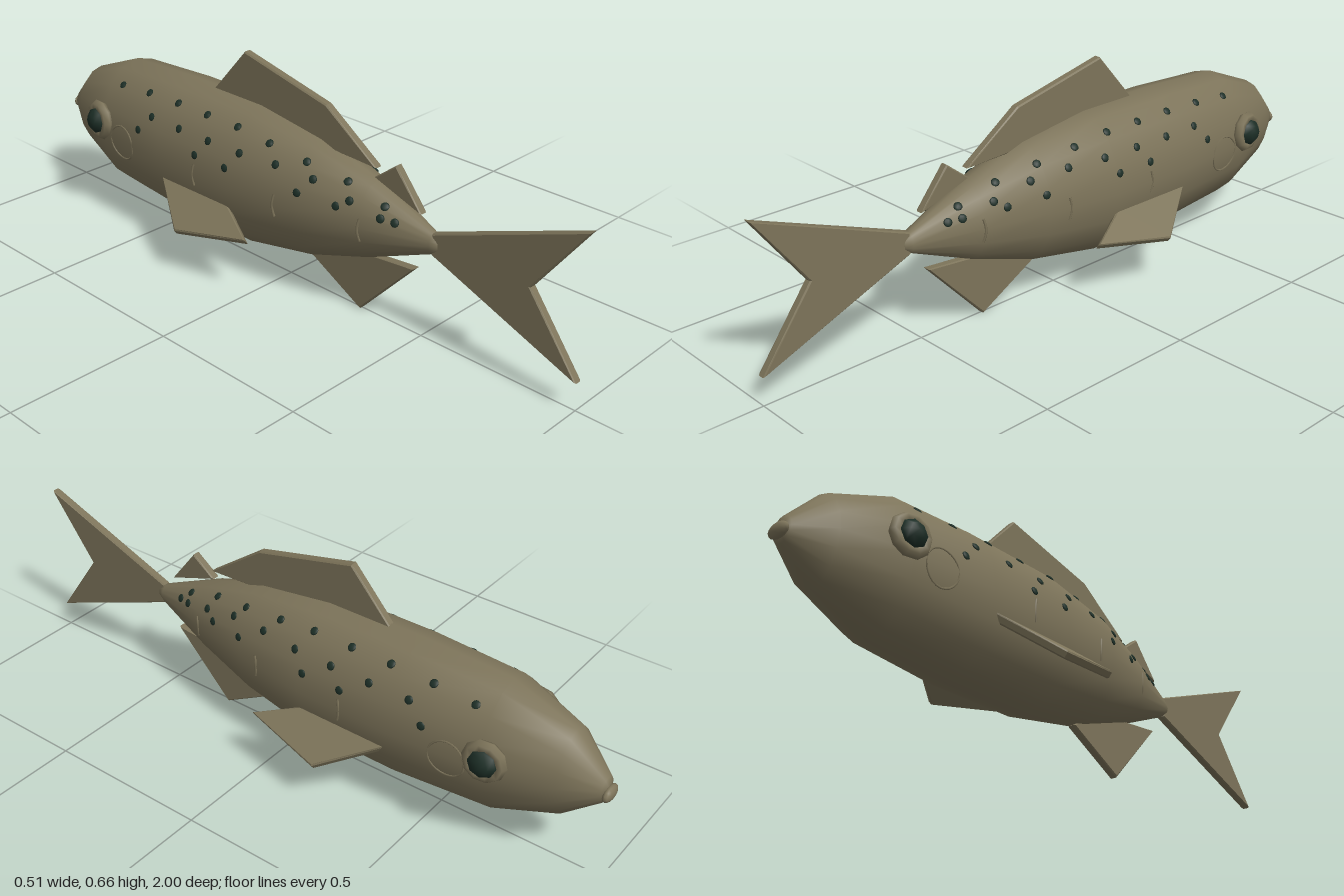
import * as THREE from 'three';

const olive = new THREE.MeshStandardMaterial({ name: 'olive skin', color: 0x7d745a });
const dark = new THREE.MeshStandardMaterial({ name: 'dark green', color: 0x1c2e26 });

// Body stations from snout to tail root: z, half width, bottom y, top y
const stations = [
  [-0.975, 0.035, 0.25, 0.325],
  [-0.875, 0.095, 0.168, 0.43],
  [-0.685, 0.15, 0.097, 0.505],
  [-0.41, 0.164, 0.076, 0.518],
  [-0.107, 0.162, 0.077, 0.518],
  [0.13, 0.13, 0.12, 0.485],
  [0.33, 0.084, 0.186, 0.42],
  [0.53, 0.025, 0.27, 0.333],
  [0.55, 0.016, 0.282, 0.32],
];

function sectionAt(z) {
  let i = 0;
  while (i < stations.length - 2 && stations[i + 1][0] < z) i++;
  const a = stations[i], b = stations[i + 1];
  const t = (z - a[0]) / (b[0] - a[0]);
  const [w, lo, hi] = [1, 2, 3].map((k) => a[k] + (b[k] - a[k]) * t);
  return { w, cy: (lo + hi) / 2, h: (hi - lo) / 2 };
}

// Point on the flank at a given z and y
function flank(side, z, y) {
  const { w, cy, h } = sectionAt(z);
  const v = THREE.MathUtils.clamp((y - cy) / h, -0.97, 0.97);
  return new THREE.Vector3(side * w * Math.sqrt(1 - v * v) * 0.988, cy + v * h * 0.988, z);
}

function flankNormal(side, z, y) {
  const p = flank(side, z, y);
  const along = flank(side, z + 0.02, y).sub(p);
  const up = flank(side, z, y + 0.008).sub(p);
  return up.cross(along).multiplyScalar(side).normalize();
}

// Loft of 16-sided oval rings
function bodyGeometry() {
  const n = 16, pos = [], idx = [];
  for (const [z, w, lo, hi] of stations) {
    for (let j = 0; j < n; j++) {
      const a = (j / n) * Math.PI * 2;
      pos.push(w * Math.cos(a), (lo + hi) / 2 + ((hi - lo) / 2) * Math.sin(a), z);
    }
  }
  const last = (stations.length - 1) * n;
  for (let i = 0; i < last; i += n) {
    for (let j = 0; j < n; j++) {
      const k = (j + 1) % n;
      idx.push(i + j, i + k, i + n + j, i + k, i + n + k, i + n + j);
    }
  }
  const snout = pos.length / 3;
  pos.push(0, 0.287, -0.985, 0, 0.301, 0.558);
  for (let j = 0; j < n; j++) {
    const k = (j + 1) % n;
    idx.push(snout, k, j, snout + 1, last + j, last + k);
  }
  const g = new THREE.BufferGeometry();
  g.setAttribute('position', new THREE.Float32BufferAttribute(pos, 3));
  g.setIndex(idx);
  g.computeVertexNormals();
  return g;
}

// Flat plate with a small bevel, centred on its thickness
function plate(points, thick) {
  const b = 0.004;
  const shape = new THREE.Shape(points.map(([x, y]) => new THREE.Vector2(x, y)));
  const g = new THREE.ExtrudeGeometry(shape, {
    depth: thick - 2 * b, bevelThickness: b, bevelSize: b, bevelOffset: -b, bevelSegments: 1,
  });
  return g.translate(0, 0, -(thick - 2 * b) / 2);
}

export function createModel() {
  const model = new THREE.Group();
  model.name = 'fish';
  const add = (name, geometry, material = olive, parent = model) => {
    const m = new THREE.Mesh(geometry, material);
    m.name = name;
    parent.add(m);
    return m;
  };

  add('body', bodyGeometry());

  // Lips
  const lips = add('mouth', new THREE.SphereGeometry(1, 12, 8));
  lips.scale.set(0.036, 0.022, 0.014);
  lips.position.set(0, 0.281, -0.985);

  // Fins on the centre line, outlined as [z, y]
  const fins = {
    dorsalFin: [[0.33, 0.457], [0.145, 0.588], [-0.176, 0.66], [-0.31, 0.51], [-0.1, 0.48], [0.15, 0.462]],
    adiposeFin: [[0.49, 0.375], [0.4, 0.488], [0.325, 0.43]],
    analFin: [[0.475, 0.205], [0.284, 0.003], [0.09, 0.11], [0.2, 0.18]],
    tailFin: [[0.53, 0.333], [1, 0.51], [0.845, 0.3], [1, 0.087], [0.53, 0.27]],
  };
  for (const [name, outline] of Object.entries(fins)) {
    add(name, plate(outline, 0.026).rotateY(-Math.PI / 2));
  }

  // Spot rows as [z, y]
  const spots = [];
  [[0.27, 0.415], [0.14, 0.44], [0.005, 0.457], [-0.118, 0.472], [-0.246, 0.472], [-0.374, 0.472],
    [-0.508, 0.467], [-0.636, 0.457]].forEach((s) => spots.push(s));
  [[0.39, 0.375], [0.295, 0.372], [0.176, 0.403]].forEach((s) => spots.push(s));
  for (let i = 0; i < 5; i++) spots.push([0.05 - i * 0.127, 0.413]);
  [[0.43, 0.342], [0.39, 0.345], [0.26, 0.35], [0.139, 0.358], [-0.118, 0.36], [-0.246, 0.36],
    [-0.508, 0.36]].forEach((s) => spots.push(s));

  const out = new THREE.Vector3(0, 0, 1);
  for (const side of [-1, 1]) {
    const label = side > 0 ? 'left' : 'right';

    // Pectoral fin sloping outward and down
    const slope = new THREE.Vector3(side * 0.78, -0.625, 0);
    const along = new THREE.Vector3(0, 0, 1);
    const basis = new THREE.Matrix4()
      .makeBasis(along, slope, along.clone().cross(slope))
      .setPosition(side * 0.155, 0.223, 0);
    const pectoral = plate([[-0.41, -0.02], [-0.23, 0.122], [0.02, 0.058], [-0.12, -0.02]], 0.024);
    add(label + 'PectoralFin', pectoral.applyMatrix4(basis));

    // Eye: socket ring and dark ball
    const eye = new THREE.Group();
    eye.name = label + 'Eye';
    eye.position.set(side * 0.147, 0.335, -0.7);
    eye.quaternion.setFromUnitVectors(out, new THREE.Vector3(side, 0.04, -0.15).normalize());
    add('eyeRing', new THREE.TorusGeometry(0.046, 0.018, 6, 10), olive, eye);
    add('eyeBall', new THREE.SphereGeometry(0.045, 8, 6).rotateX(Math.PI / 2), dark, eye).scale.z = 0.9;
    model.add(eye);

    // Spots lying flat on the flank
    const spotGroup = new THREE.Group();
    spotGroup.name = label + 'Spots';
    for (const [z, y] of spots) {
      const s = add('spot', new THREE.SphereGeometry(0.0125, 8, 6), dark, spotGroup);
      s.position.copy(flank(side, z, y));
      s.quaternion.setFromUnitVectors(out, flankNormal(side, z, y));
      s.scale.z = 0.35;
    }
    model.add(spotGroup);

    // Fine raised creases along the flank
    for (const z of [0.33, 0.06, -0.25]) {
      const pts = [-0.035, -0.012, 0.012, 0.035].map((d) => flank(side, z + 4 * d * d, 0.298 + d));
      add(label + 'FlankCrease', new THREE.TubeGeometry(new THREE.CatmullRomCurve3(pts), 8, 0.004, 5));
    }

    // Gill cover rim
    const rim = [];
    for (let i = 0; i < 12; i++) {
      const a = (i / 12) * Math.PI * 2;
      rim.push(flank(side, -0.59 + 0.055 * Math.cos(a), 0.29 + 0.055 * Math.sin(a)));
    }
    add(label + 'GillRim', new THREE.TubeGeometry(new THREE.CatmullRomCurve3(rim, true), 24, 0.003, 4, true));
  }
  return model;
}
